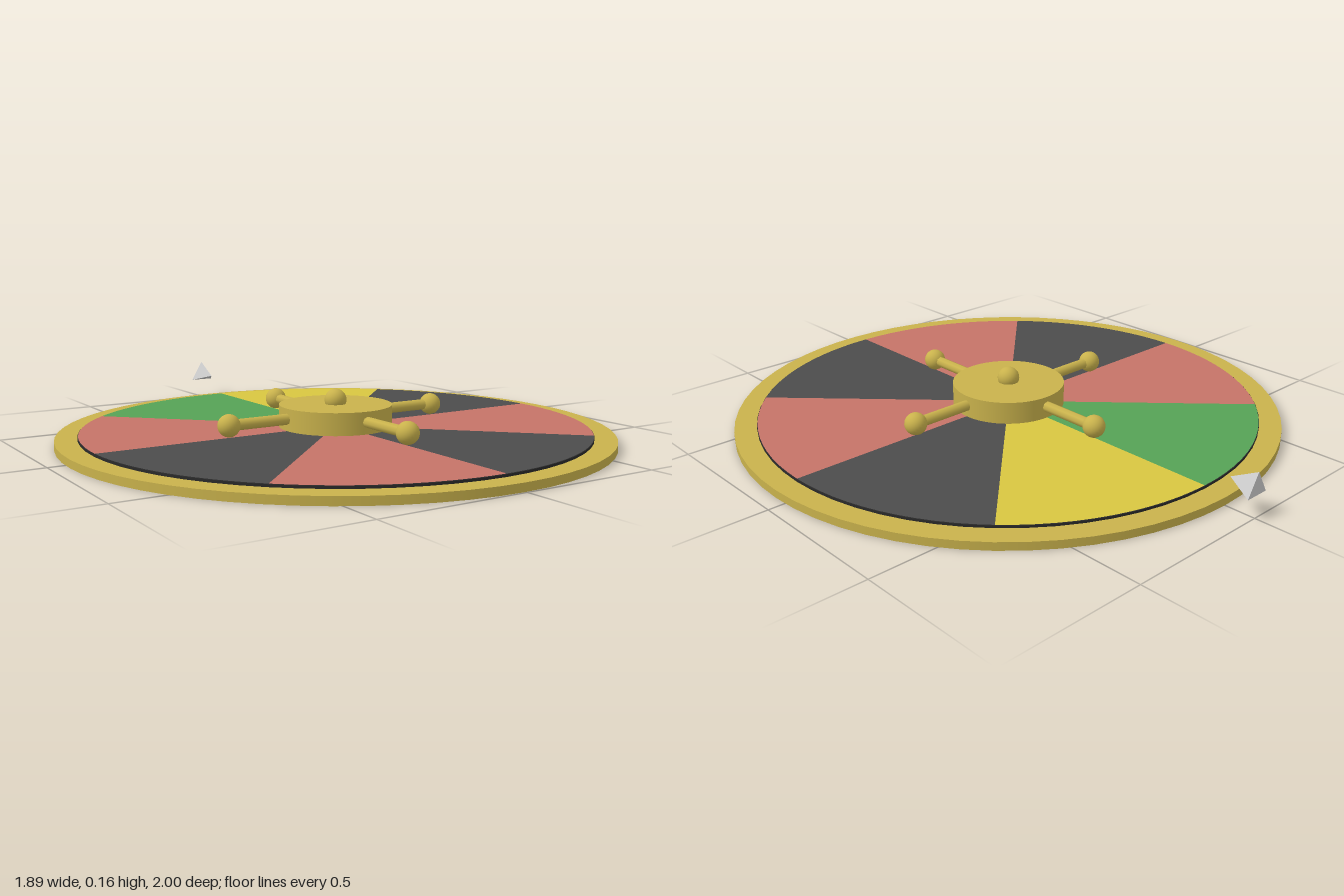
import * as THREE from 'three';

export function createModel() {
  const model = new THREE.Group();
  const wheel = new THREE.Group();
  wheel.name = 'wheel';
  wheel.position.z = 0.05;
  model.add(wheel);

  const paint = (color) => new THREE.MeshStandardMaterial({ color });
  const gold = paint(0xc9b24c);
  const red = paint(0xc57368);
  const black = paint(0x4c4c4c);
  const green = paint(0x55a255);
  const yellow = paint(0xd8c640);

  function add(parent, name, geometry, material, x = 0, y = 0, z = 0) {
    const mesh = new THREE.Mesh(geometry, material);
    mesh.name = name;
    mesh.position.set(x, y, z);
    parent.add(mesh);
    return mesh;
  }

  // Solid disc from height y0 to y1
  const disc = (name, r, y0, y1, material) =>
    add(wheel, name, new THREE.CylinderGeometry(r, r, y1 - y0, 64), material, 0, (y0 + y1) / 2);

  disc('rim', 0.945, 0, 0.027, gold);
  disc('bed', 0.87, 0.002, 0.035, paint(0x2a2a2a));
  disc('hub', 0.195, 0.03, 0.113, gold);

  // Eight coloured sectors, clockwise from the back
  const step = Math.PI / 4;
  [yellow, black, red, black, red, black, red, green].forEach((material, i) => {
    const sector = new THREE.CircleGeometry(0.868, 12, Math.PI / 2 - (i + 1) * step, step);
    sector.rotateX(-Math.PI / 2);
    add(wheel, 'sector', sector, material, 0, 0.0365);
  });

  // Four handles with ball ends
  const ball = new THREE.SphereGeometry(0.038, 24, 16);
  const rod = new THREE.CylinderGeometry(0.019, 0.019, 0.3, 8);
  rod.rotateZ(Math.PI / 2);
  for (let i = 0; i < 4; i++) {
    const handle = new THREE.Group();
    handle.name = 'handle';
    handle.rotation.y = (i * Math.PI) / 2;
    add(handle, 'handleRod', rod, gold, 0.26, 0.077);
    add(handle, 'handleBall', ball, gold, 0.413, 0.077);
    wheel.add(handle);
  }

  add(wheel, 'topKnob', ball, gold, 0, 0.127);

  // Three-sided pointer aimed at the wheel from behind
  const cone = new THREE.ConeGeometry(0.05, 0.095, 3, 1, false, Math.PI);
  cone.rotateX(Math.PI / 2);
  const grey = new THREE.MeshStandardMaterial({ color: 0xcccccc, flatShading: true });
  add(model, 'pointer', cone, grey, 0, 0.1, -0.9525);

  return model;
}
